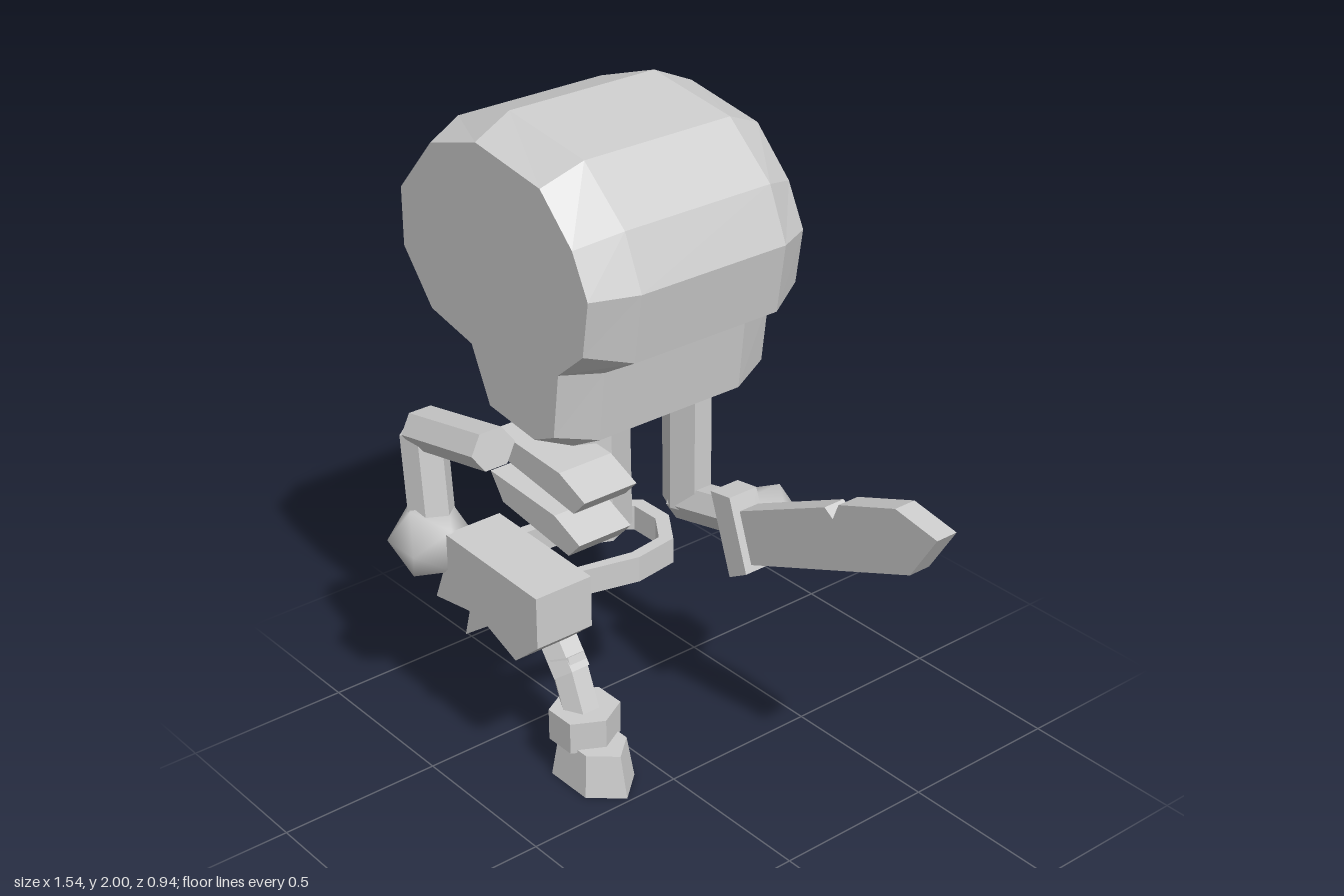
import * as THREE from 'three';
import { mergeVertices } from 'three/addons/utils/BufferGeometryUtils.js';

const V = (x, y, z) => new THREE.Vector3(x, y, z);

export function createModel() {
  const model = new THREE.Group();
  const bone = new THREE.MeshStandardMaterial({ color: 0xcccccc });
  bone.name = 'bone grey';

  const add = (name, geometry) => {
    const mesh = new THREE.Mesh(geometry, bone);
    mesh.name = name;
    model.add(mesh);
    return mesh;
  };
  const facet = (geometry) => {
    const g = geometry.index ? geometry.toNonIndexed() : geometry;
    g.computeVertexNormals();
    return g;
  };

  // Straight-sided slab: xy outline extruded between two depths
  const slab = (name, outline, z0, z1) => {
    const shape = new THREE.Shape(outline.map(([x, y]) => new THREE.Vector2(x, y)));
    const g = new THREE.ExtrudeGeometry(shape, { depth: z1 - z0, bevelEnabled: false });
    return add(name, g.translate(0, 0, z0));
  };

  // Upright hexagonal block with corners toward +x and -x
  const hexBlock = (name, x, z, y0, y1, rx, rz, topScale = 1) => {
    const g = new THREE.CylinderGeometry(topScale, 1, y1 - y0, 6, 1, false, Math.PI / 6);
    g.scale(rx, 1, rz).translate(x, (y0 + y1) / 2, z);
    return add(name, facet(g));
  };

  // Hexagonal limb between two points
  const limb = (name, a, b, rx, rz) => {
    const g = new THREE.CylinderGeometry(1, 1, a.distanceTo(b), 6);
    g.scale(rx, 1, rz);
    const mesh = add(name, facet(g));
    mesh.quaternion.setFromUnitVectors(V(0, 1, 0), b.clone().sub(a).normalize());
    mesh.position.copy(a).add(b).multiplyScalar(0.5);
    return mesh;
  };

  // Smooth-shaded low-poly fist
  const fist = (name, x, y, z) => {
    let g = new THREE.IcosahedronGeometry(0.125, 0);
    g.deleteAttribute('normal');
    g.deleteAttribute('uv');
    g = mergeVertices(g, 1e-4);
    g.rotateZ(Math.PI / 2);
    g.computeVertexNormals();
    add(name, g).position.set(x, y, z);
  };

  // Skull: bevelled loft of an outer and an inset outline
  const outer = [[-0.775, 1.735], [-0.6, 1.92], [-0.37, 2], [-0.06, 1.958], [0.1, 1.82], [0.165, 1.67], [0.135, 1.47],
    [0.01, 1.395], [-0.013, 1.19], [-0.13, 1.125], [-0.357, 1.157], [-0.435, 1.326], [-0.616, 1.363], [-0.743, 1.528]].reverse();
  const inset = [[-0.71, 1.715], [-0.56, 1.885], [-0.357, 1.947], [-0.087, 1.905], [0.04, 1.78], [0.1, 1.66], [0.075, 1.5],
    [-0.03, 1.41], [-0.055, 1.22], [-0.14, 1.18], [-0.336, 1.204], [-0.41, 1.36], [-0.59, 1.4], [-0.71, 1.545]].reverse();
  const rings = [[inset, 0.36], [outer, 0.24], [outer, -0.24], [inset, -0.36]]
    .map(([pts, z]) => pts.map(([x, y]) => V(x, y, z)));
  const tri = [];
  const n = outer.length;
  for (let r = 0; r < 3; r++) {
    for (let i = 0; i < n; i++) {
      const j = (i + 1) % n;
      const [a, b, c, d] = [rings[r][i], rings[r + 1][i], rings[r + 1][j], rings[r][j]];
      tri.push(a, b, c, a, c, d);
    }
  }
  const cap = THREE.ShapeUtils.triangulateShape(inset.map(([x, y]) => new THREE.Vector2(x, y)), []);
  for (const [a, b, c] of cap) {
    tri.push(rings[0][a], rings[0][b], rings[0][c], rings[3][a], rings[3][c], rings[3][b]);
  }
  add('skull', facet(new THREE.BufferGeometry().setFromPoints(tri)));

  // Neck plate and spine
  hexBlock('neckPlate', -0.35, 0, 1.09, 1.14, 0.17, 0.24);
  hexBlock('spine', -0.365, 0, 0.68, 1.1, 0.098, 0.125, 0.96);

  // Two pointed ribs of the same outline
  for (const [dx, dy, name] of [[0, 0, 'lowerRib'], [0.027, 0.145, 'upperRib']]) {
    slab(name, [[-0.545, 0.868], [-0.25, 0.85], [-0.138, 0.803], [-0.188, 0.75], [-0.49, 0.79]]
      .map(([x, y]) => [x + dx, y + dy]), 0.04, 0.22);
  }

  // Jagged pelvis and the ring curving behind it
  slab('pelvis', [[-0.56, 0.71], [-0.135, 0.695], [-0.135, 0.535], [-0.24, 0.445], [-0.37, 0.495],
    [-0.48, 0.415], [-0.455, 0.505], [-0.62, 0.478], [-0.57, 0.6]], 0.185, 0.375);
  const path = [[-0.2, 0.2], [-0.15, 0], [-0.17, -0.14], [-0.28, -0.215], [-0.4, -0.215], [-0.48, -0.12], [-0.5, 0.2]];
  const inner = path.map(([x, z]) => [-0.325 + (x + 0.325) * 0.8, z < 0 ? z * 0.8 : z]).reverse();
  const band = new THREE.Shape([...path, ...inner].map(([x, z]) => new THREE.Vector2(x, -z)));
  const bandGeo = new THREE.ExtrudeGeometry(band, { depth: 0.08, bevelEnabled: false });
  add('pelvisRing', bandGeo.rotateX(-Math.PI / 2).translate(0, 0.6, 0));

  // Right arm
  limb('rightUpperArm', V(-0.35, 1.06, 0.345), V(-0.69, 0.99, 0.345), 0.062, 0.073);
  limb('rightForearm', V(-0.69, 0.98, 0.345), V(-0.655, 0.66, 0.35), 0.064, 0.07);
  fist('rightFist', -0.656, 0.652, 0.36);

  // Left arm
  limb('leftUpperArm', V(-0.365, 1.06, -0.353), V(-0.365, 0.64, -0.353), 0.085, 0.063);
  limb('leftForearm', V(-0.39, 0.64, -0.355), V(-0.06, 0.71, -0.36), 0.062, 0.06);
  fist('leftFist', -0.045, 0.7, -0.365);

  // Sword
  slab('swordGuard', [[-0.09, 0.843], [-0.01, 0.855], [0.065, 0.64], [-0.005, 0.6]], -0.31, -0.21);
  slab('swordBlade', [[-0.005, 0.805], [0.347, 0.972], [0.38, 0.95], [0.4, 1.002], [0.61, 1.082],
    [0.765, 1.055], [0.675, 0.912], [0.055, 0.658]], -0.305, -0.235);

  // Single leg and foot
  limb('thigh', V(-0.38, 0.47, 0.165), V(-0.26, 0.31, 0.165), 0.063, 0.063);
  limb('shin', V(-0.285, 0.36, 0.165), V(-0.215, 0.19, 0.165), 0.06, 0.058);
  hexBlock('ankle', -0.205, 0.163, 0.12, 0.22, 0.1, 0.106);
  hexBlock('foot', -0.17, 0.163, 0, 0.13, 0.158, 0.104, 0.82);

  return model;
}
